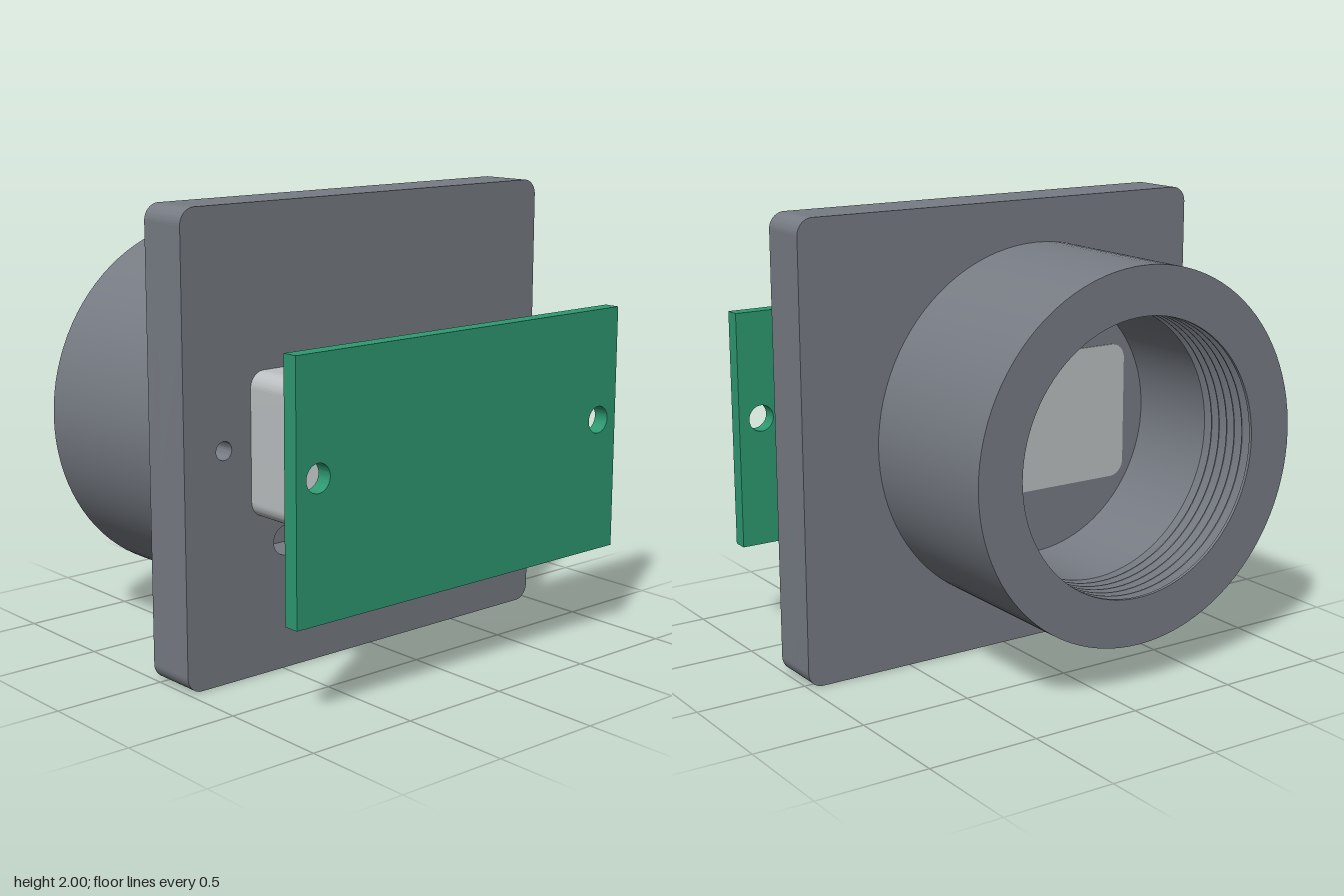
import * as THREE from 'three';
import { toCreasedNormals } from 'three/addons/utils/BufferGeometryUtils.js';

const housing = new THREE.MeshStandardMaterial({ name: 'housingGrey', color: 0x777c84 });
const board = new THREE.MeshStandardMaterial({ name: 'boardGreen', color: 0x2e9a72 });
const metal = new THREE.MeshStandardMaterial({ name: 'lightGrey', color: 0xbcc0c2 });

const AXIS_Z = 0.17; // the tube, block, slot and pins share this offset

// Rounded rectangle centred on (z, y); shape u runs along -z
function roundedRect(Target, z, y, w, h, r) {
  const s = new Target();
  const u0 = -z - w / 2, u1 = -z + w / 2, v0 = y - h / 2, v1 = y + h / 2;
  s.moveTo(u0 + r, v0);
  s.lineTo(u1 - r, v0);
  s.absarc(u1 - r, v0 + r, r, -Math.PI / 2, 0);
  s.lineTo(u1, v1 - r);
  s.absarc(u1 - r, v1 - r, r, 0, Math.PI / 2);
  s.lineTo(u0 + r, v1);
  s.absarc(u0 + r, v1 - r, r, Math.PI / 2, Math.PI);
  s.lineTo(u0, v0 + r);
  s.absarc(u0 + r, v0 + r, r, Math.PI, Math.PI * 1.5);
  return s;
}

function screwHoles(r) {
  return [-0.8, 0.8].map((u) => new THREE.Path().absarc(u, 1, r, 0, Math.PI * 2));
}

// Extrude a (u, y) shape along x from x0 to x1
function slab(name, shape, x0, x1, material) {
  let geo = new THREE.ExtrudeGeometry(shape, { depth: x1 - x0, bevelEnabled: false, curveSegments: 24 });
  geo.rotateY(Math.PI / 2).translate(x0, 0, 0);
  geo = toCreasedNormals(geo, 0.5);
  const mesh = new THREE.Mesh(geo, material);
  mesh.name = name;
  return mesh;
}

export function createModel() {
  const model = new THREE.Group();
  model.name = 'sensorMount';

  // Square plate: solid back layer, front layer with blind holes and slot
  const back = roundedRect(THREE.Shape, 0, 1, 2, 2, 0.07);
  const front = roundedRect(THREE.Shape, 0, 1, 2, 2, 0.07);
  front.holes.push(...screwHoles(0.04), roundedRect(THREE.Path, AXIS_Z, 0.565, 0.75, 0.13, 0.0649));
  model.add(slab('plateBack', back, -0.04, 0.04, housing));
  model.add(slab('plateFront', front, 0.04, 0.2, housing));

  // Tube with an internally threaded mouth
  const profile = [[0.81, 0], [0.81, 0.76], [0.6, 0.76]];
  const pitch = 0.05;
  for (let i = 0; i < 6; i++) {
    const h = 0.745 - i * pitch;
    profile.push([0.6, h], [0.63, h - 0.018], [0.63, h - 0.026], [0.6, h - 0.044]);
  }
  profile.push([0.6, 0]);
  const lathe = new THREE.LatheGeometry(profile.map(([r, h]) => new THREE.Vector2(r, h)), 96);
  const tube = new THREE.Mesh(toCreasedNormals(lathe, 0.5), housing);
  tube.name = 'threadedTube';
  tube.rotation.z = Math.PI / 2;
  tube.position.set(-0.04, 1, AXIS_Z);
  model.add(tube);

  // Rounded sensor block passing through the plate
  model.add(slab('sensorBlock', roundedRect(THREE.Shape, AXIS_Z, 1, 0.98, 0.62, 0.07), -0.045, 0.725, metal));

  // Circuit board with two screw holes
  const pcb = new THREE.Shape();
  pcb.moveTo(-0.91, 0.41);
  pcb.lineTo(0.91, 0.41);
  pcb.lineTo(0.91, 1.49);
  pcb.lineTo(-0.91, 1.49);
  pcb.holes.push(...screwHoles(0.06));
  model.add(slab('circuitBoard', pcb, 0.725, 0.796, board));

  // Row of solder pins facing the slot
  const pins = new THREE.Group();
  pins.name = 'solderPins';
  const pinGeo = new THREE.CylinderGeometry(0.022, 0.022, 0.075, 16).rotateZ(Math.PI / 2);
  for (let i = -3; i <= 3; i++) {
    const pin = new THREE.Mesh(pinGeo, metal);
    pin.name = 'pin';
    pin.position.set(0.6885, 0.56, AXIS_Z + i * 0.105);
    pins.add(pin);
  }
  model.add(pins);

  return model;
}
